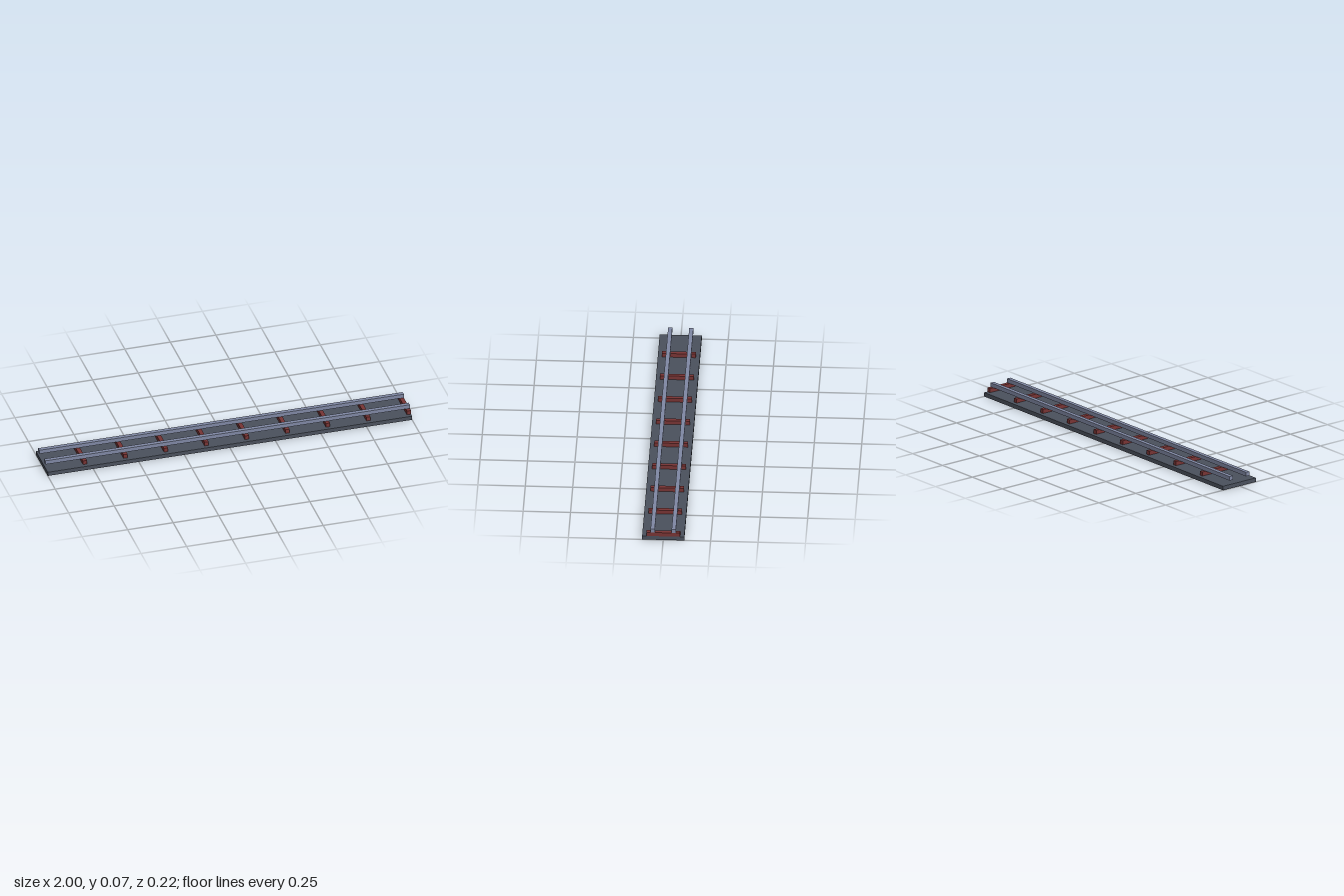
import * as THREE from 'three';

const UNIT = 2 / 90; // every part is one unit thick

export function createModel() {
  const model = new THREE.Group();
  model.name = 'railTrack';

  const material = (name, color) => {
    const m = new THREE.MeshStandardMaterial({ color });
    m.name = name;
    return m;
  };
  const slate = material('darkSlate', 0x4b515d);
  const steel = material('blueGreySteel', 0x8088a4);
  const wood = material('redBrownWood', 0x783434);

  // Box sized and placed in units, y measured at its underside
  const box = (name, mat, [w, h, d], [x, y, z]) => {
    const mesh = new THREE.Mesh(new THREE.BoxGeometry(w * UNIT, h * UNIT, d * UNIT), mat);
    mesh.position.set(x * UNIT, (y + h / 2) * UNIT, z * UNIT);
    mesh.name = name;
    model.add(mesh);
  };

  // Track bed
  box('bed', slate, [90, 1, 10], [0, 0, 0]);

  // Sleepers every ten units, the last flush with the +x end
  for (let i = 0; i < 9; i++) {
    box(`sleeper${i + 1}`, wood, [1, 1, 8], [-35.5 + i * 10, 1, 0]);
  }

  // Pair of rails
  box('frontRail', steel, [90, 1, 1], [0, 2, 2.5]);
  box('backRail', steel, [90, 1, 1], [0, 2, -2.5]);

  return model;
}
